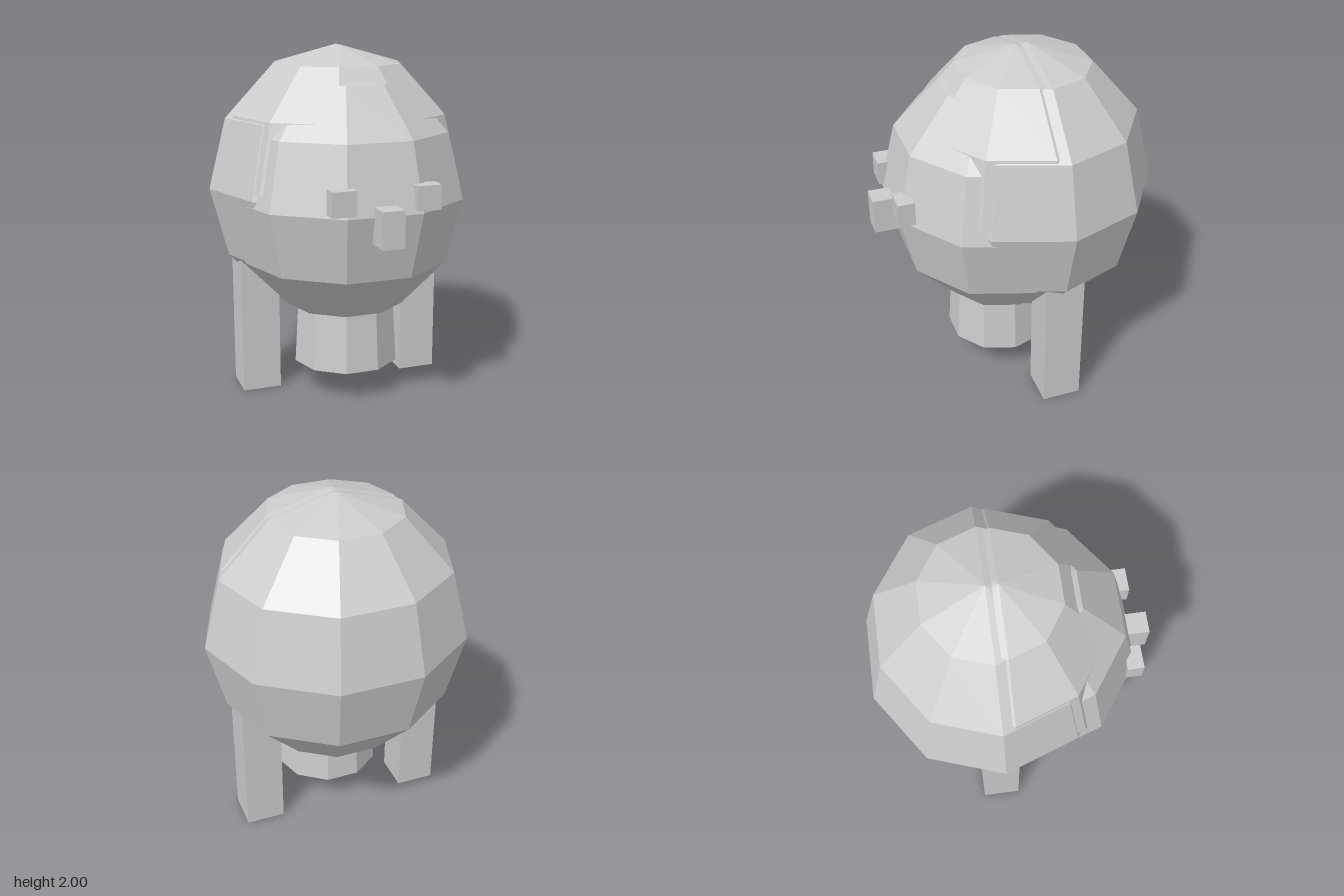
import * as THREE from 'three';

export function createModel() {
  const group = new THREE.Group();
  const grey = new THREE.MeshStandardMaterial({ color: 0xcccccc, flatShading: true, side: THREE.DoubleSide });
  grey.name = 'light grey';

  const add = (name, geometry, x, y, z) => {
    const mesh = new THREE.Mesh(geometry, grey);
    mesh.name = name;
    mesh.position.set(x, y, z);
    group.add(mesh);
    return mesh;
  };

  // Ten-sided faceted ball; thetaLength of half a turn is whole, a quarter is a dome
  const ball = (rx, ry, rz, rings = 6, thetaLength = Math.PI) =>
    new THREE.SphereGeometry(1, 10, rings, 0, Math.PI * 2, 0, thetaLength).scale(rx, ry, rz);

  // Head, back hair and fringe overlap so the face pushes out at the front
  add('head', ball(0.685, 0.74, 0.677), 0, 1.17, 0.033);
  add('backHair', ball(0.753, 0.79, 0.7), 0, 1.21, -0.122);
  add('fringe', ball(0.716, 0.75, 0.66, 3, Math.PI / 2), 0, 1.25, -0.055);

  // Neck
  const neck = new THREE.CylinderGeometry(0.285, 0.31, 0.42, 10).rotateY(Math.PI / 2);
  add('neck', neck, 0, 0.39, 0.045);

  // Nose
  add('nose', new THREE.BoxGeometry(0.124, 0.2, 0.15), 0, 1.125, 0.71);

  // Eyes and hanging locks, mirrored
  for (const [side, s] of [['left', 1], ['right', -1]]) {
    add(side + 'Eye', new THREE.BoxGeometry(0.134, 0.134, 0.092), s * 0.233, 1.257, 0.652);
    add(side + 'Lock', new THREE.BoxGeometry(0.223, 0.85, 0.223), s * 0.494, 0.425, -0.137);
  }
  return group;
}
